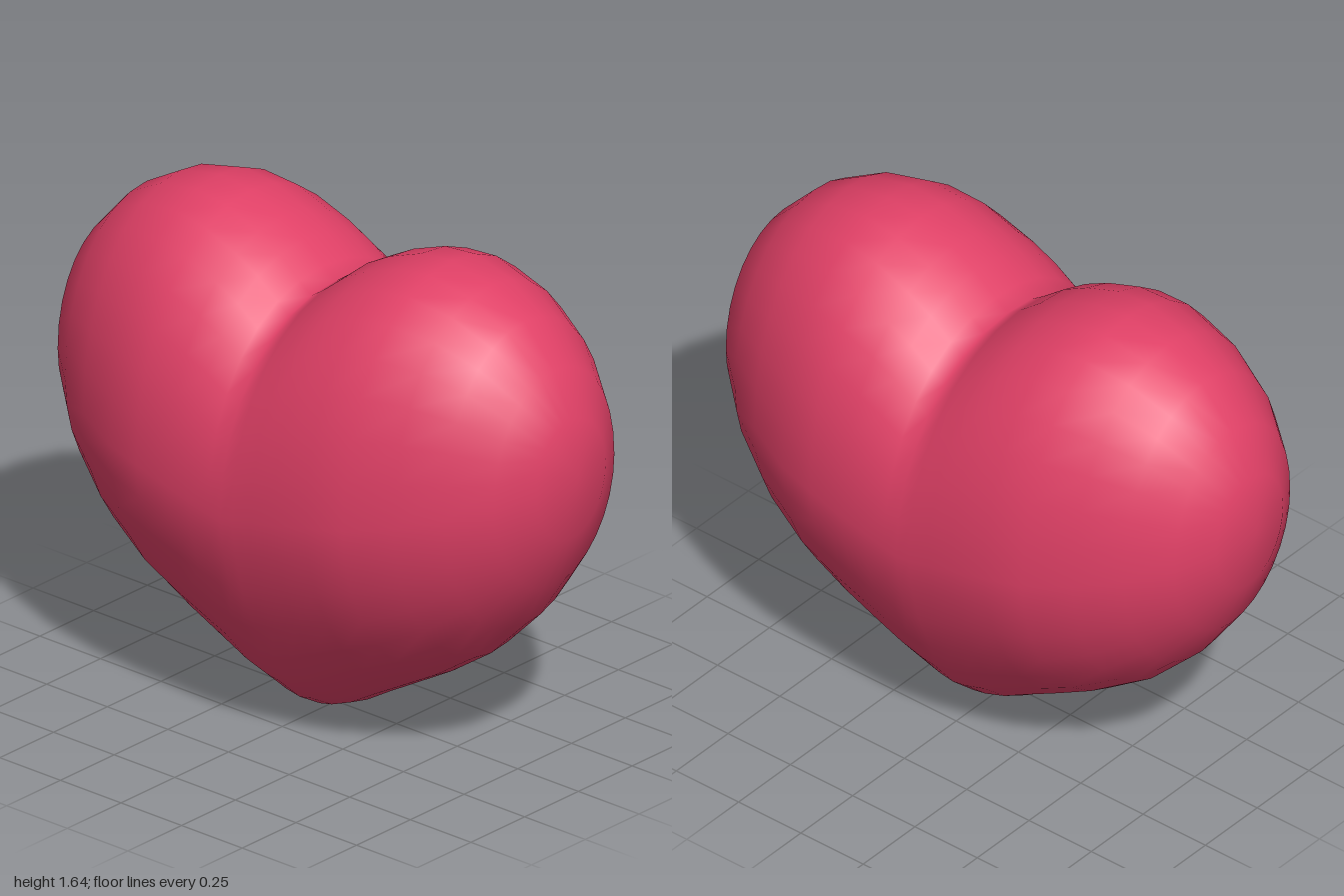
import * as THREE from 'three';
import { mergeVertices } from 'three/addons/utils/BufferGeometryUtils.js';

// Vertical slices of the left half: x, bottom y, top y, half depth, height of greatest depth
const SLICES = [
  [0, 0, 1.43, 0.54, 0.8],
  [0.05, 0.012, 1.465, 0.54, 0.81],
  [0.13, 0.045, 1.53, 0.54, 0.83],
  [0.22, 0.1, 1.58, 0.54, 0.85],
  [0.35, 0.175, 1.63, 0.535, 0.88],
  [0.48, 0.25, 1.645, 0.512, 0.9],
  [0.64, 0.36, 1.61, 0.455, 0.94],
  [0.78, 0.5, 1.53, 0.38, 0.98],
  [0.9, 0.67, 1.4, 0.28, 1.02],
  [0.97, 0.85, 1.25, 0.16, 1.05],
  [1, 1.07, 1.07, 0, 1.07],
];
const SEGMENTS = 32;

// Point on a slice: a rounded oval, more pointed below near the centre line
function slicePoint([x, bottom, top, depth, mid], side, j) {
  const a = (j / SEGMENTS) * Math.PI * 2;
  const s = Math.sin(a), c = Math.cos(a);
  const power = c > 0 ? 2.1 : 1.65 + 0.35 * x;
  const bend = (v) => Math.sign(v) * Math.abs(v) ** (2 / power);
  const reach = c > 0 ? top - mid : mid - bottom;
  return [side * x, mid + reach * bend(c), depth * bend(s)];
}

function heartGeometry() {
  const n = SLICES.length - 1;
  const positions = [], index = [];
  // Mirrored slices run from the right end to the left end
  for (let i = -n; i <= n; i++) {
    for (let j = 0; j < SEGMENTS; j++) {
      positions.push(...slicePoint(SLICES[Math.abs(i)], Math.sign(i), j));
    }
  }
  for (let i = 0; i < 2 * n; i++) {
    for (let j = 0; j < SEGMENTS; j++) {
      const k = (j + 1) % SEGMENTS;
      const a = i * SEGMENTS + j, b = i * SEGMENTS + k;
      const c = a + SEGMENTS, d = b + SEGMENTS;
      if (i > 0) index.push(a, b, c);
      if (i < 2 * n - 1) index.push(b, d, c);
      else index.push(); // last ring closes in a single point
    }
  }
  const geometry = new THREE.BufferGeometry();
  geometry.setAttribute('position', new THREE.Float32BufferAttribute(positions, 3));
  geometry.setIndex(index);
  const welded = mergeVertices(geometry, 1e-4);
  welded.computeVertexNormals();
  return welded;
}

export function createModel() {
  const group = new THREE.Group();
  group.name = 'heart';
  const body = new THREE.Mesh(
    heartGeometry(),
    new THREE.MeshStandardMaterial({ color: 0xe04066 }),
  );
  body.name = 'heartBody';
  group.add(body);
  return group;
}
